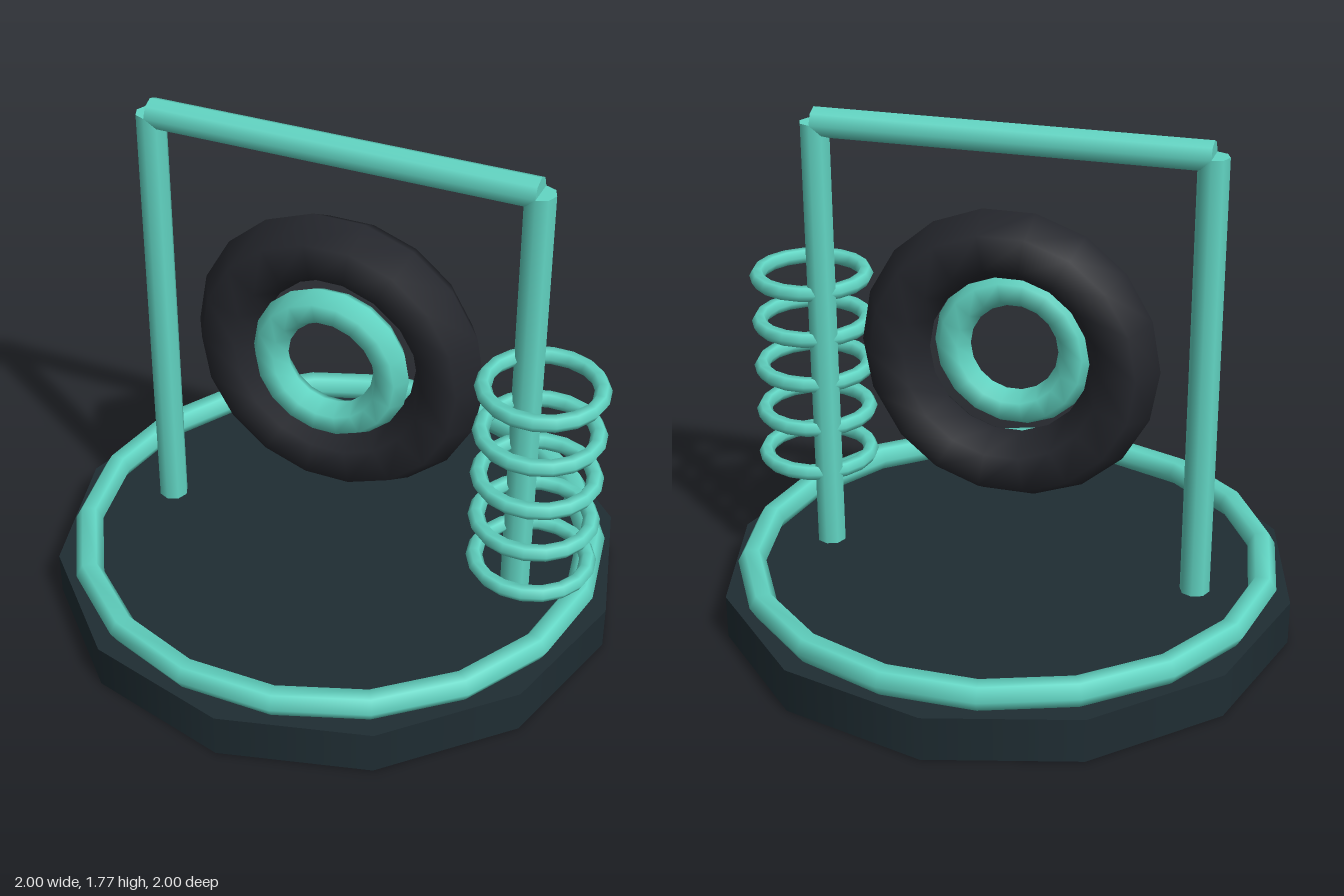
import * as THREE from 'three';

const material = (color) => new THREE.MeshStandardMaterial({ color });

export function createModel() {
  const model = new THREE.Group();
  model.name = 'tyreStand';
  const teal = material(0x62d6c4);
  const slate = material(0x1f2d33);
  const rubber = material(0x25272d);

  const add = (parent, name, geometry, mat, x, y, z) => {
    const mesh = new THREE.Mesh(geometry, mat);
    mesh.name = name;
    mesh.position.set(x, y, z);
    parent.add(mesh);
    return mesh;
  };
  // All rings share a hexagonal section and 18 segments
  const torus = (outer, tube) => new THREE.TorusGeometry(outer - tube, tube, 6, 18);

  // Twelve-sided base with a rim ring lying on it
  const baseH = 0.155;
  add(model, 'base', new THREE.CylinderGeometry(1, 1, baseH, 12), slate, 0, baseH / 2, 0);
  add(model, 'baseRing', torus(0.95, 0.049).rotateX(Math.PI / 2), teal, 0, 0.197, 0);

  // Frame: two posts and a crossbar
  const frame = new THREE.Group();
  frame.name = 'frame';
  model.add(frame);
  const postX = 0.668, barY = 1.717, rod = 0.052, postH = barY - baseH;
  for (const [name, side] of [['leftPost', 1], ['rightPost', -1]]) {
    add(frame, name, new THREE.CylinderGeometry(rod, rod, postH, 8), teal,
      side * postX, baseH + postH / 2, 0);
  }
  add(frame, 'crossbar', new THREE.CylinderGeometry(rod, rod, 2 * postX, 8).rotateZ(Math.PI / 2),
    teal, 0, barY, 0);

  // Upright tyre and the rim set forward in its hole
  add(model, 'tyre', torus(0.522, 0.121), rubber, 0, 0.957, 0);
  add(model, 'tyreRim', torus(0.283, 0.064), teal, 0, 0.957, 0.068);

  // Spring: a stack of separate flat rings beside the left post
  const spring = new THREE.Group();
  spring.name = 'spring';
  spring.position.set(0.762, 0, 0.144);
  model.add(spring);
  const coil = torus(0.217, 0.028).rotateX(Math.PI / 2);
  for (let i = 0; i < 5; i++) add(spring, `springCoil${i + 1}`, coil, teal, 0, 0.43 + i * 0.171, 0);

  return model;
}
